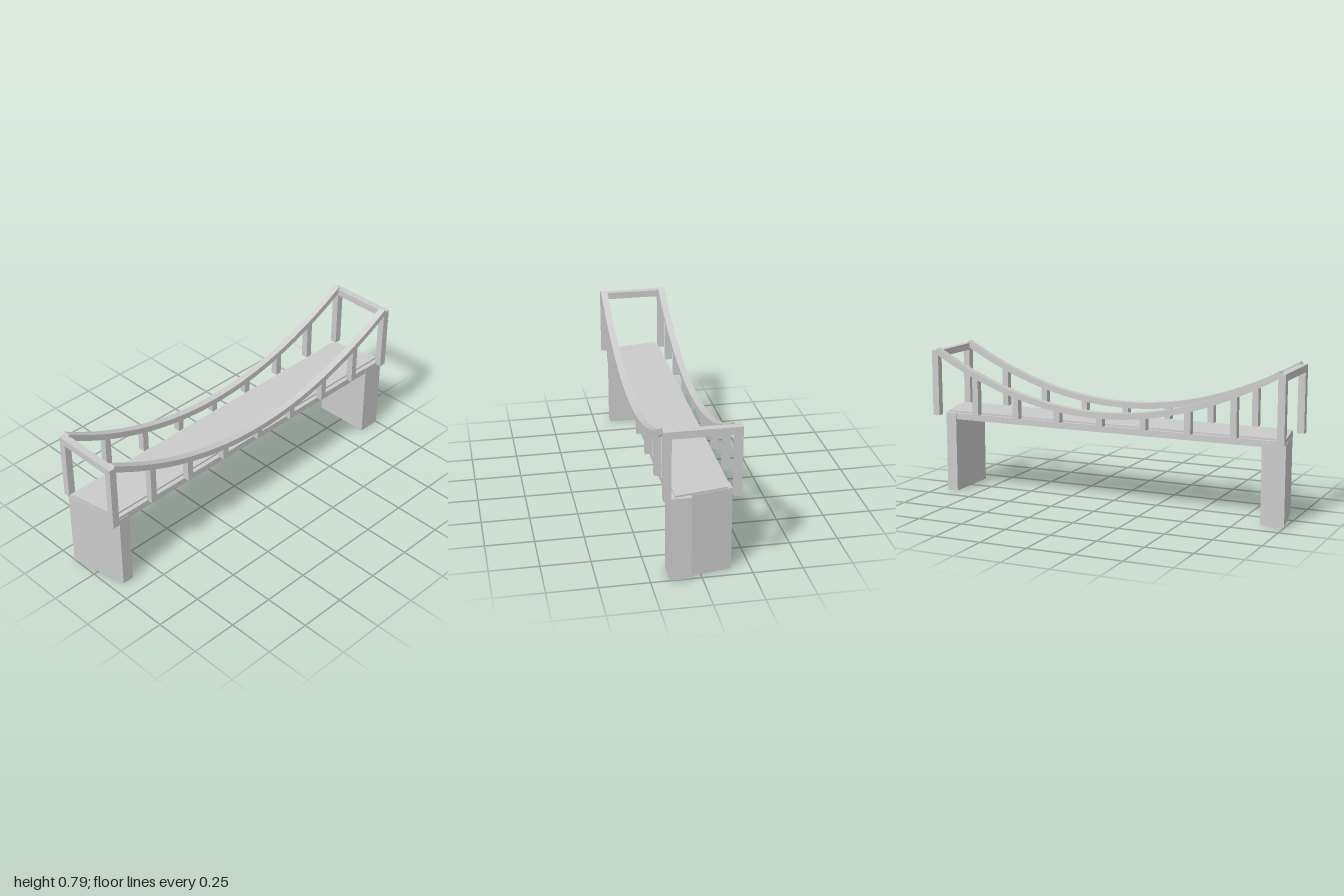
import * as THREE from 'three';

const material = new THREE.MeshStandardMaterial({ color: 0xcccccc, flatShading: true });

function add(parent, geometry, name, x = 0, y = 0, z = 0) {
  const mesh = new THREE.Mesh(geometry, material);
  mesh.name = name;
  mesh.position.set(x, y, z);
  parent.add(mesh);
  return mesh;
}

// Prism raised from a plan outline of [x, z] points between two heights.
function slab(outline, y0, y1) {
  const shape = new THREE.Shape(outline.map(([x, z]) => new THREE.Vector2(x, -z)));
  const geometry = new THREE.ExtrudeGeometry(shape, { depth: y1 - y0, bevelEnabled: false });
  return geometry.rotateX(-Math.PI / 2).translate(0, y0, 0);
}

// Height of the cable's centre line.
const END = 0.975;
const cableY = (x) => 0.495 + 0.282 * (x / END) ** 2;

// Curved band of constant thickness that follows the cable line.
function cableGeometry(width, thickness, steps) {
  const upper = [], lower = [];
  for (let i = 0; i <= steps; i++) {
    const x = -END + (2 * END * i) / steps;
    const normal = new THREE.Vector2((-2 * 0.282 * x) / END ** 2, 1).normalize();
    const centre = new THREE.Vector2(x, cableY(x));
    upper.push(centre.clone().addScaledVector(normal, thickness / 2));
    lower.push(centre.clone().addScaledVector(normal, -thickness / 2));
  }
  const shape = new THREE.Shape([...lower, ...upper.reverse()]);
  const geometry = new THREE.ExtrudeGeometry(shape, { depth: width, bevelEnabled: false });
  return geometry.translate(0, 0, -width / 2);
}

export function createModel() {
  const bridge = new THREE.Group();
  bridge.name = 'suspensionBridge';

  // Piers with skewed outer faces; the one on +x has a small step
  add(bridge, slab([[-0.875, 0.156], [-0.875, -0.156], [-1, -0.156], [-0.937, 0.156]], 0, 0.42), 'rightPier');
  add(bridge, slab([[0.875, 0.156], [1, 0.156], [1, 0.052], [0.975, 0.052],
    [0.936, -0.156], [0.875, -0.156]], 0, 0.434), 'leftPier');

  // Deck with skewed ends, and the raised roadway on it
  add(bridge, slab([[-0.94, 0.153], [0.995, 0.153], [0.995, 0.052], [0.973, 0.052],
    [0.936, -0.15], [-0.995, -0.15]], 0.4, 0.434), 'deck');
  add(bridge, slab([[-0.945, 0.13], [0.985, 0.13], [0.972, 0.052], [0.938, -0.13],
    [-0.993, -0.13]], 0.43, 0.443), 'roadway');

  // Cable, hangers and tower posts on each side
  const railZ = 0.168, post = 0.037;
  for (const side of [1, -1]) {
    const truss = new THREE.Group();
    truss.name = side > 0 ? 'frontCableSide' : 'backCableSide';
    truss.position.z = side * railZ;
    add(truss, cableGeometry(post, 0.032, 32), 'cable');
    for (let i = -3; i <= 3; i++) {
      const x = i * 0.245, height = cableY(x) - 0.437;
      add(truss, new THREE.BoxGeometry(0.034, height, post), 'hanger', x, 0.437 + height / 2);
    }
    for (const end of [1, -1]) {
      add(truss, new THREE.BoxGeometry(0.038, 0.355, post), 'towerPost', end * 0.981, 0.5995);
    }
    bridge.add(truss);
  }

  // Cross beams joining the tower tops
  for (const end of [1, -1]) {
    add(bridge, new THREE.BoxGeometry(0.038, 0.037, 2 * railZ - post), 'crossBeam', end * 0.981, 0.7585);
  }
  return bridge;
}
